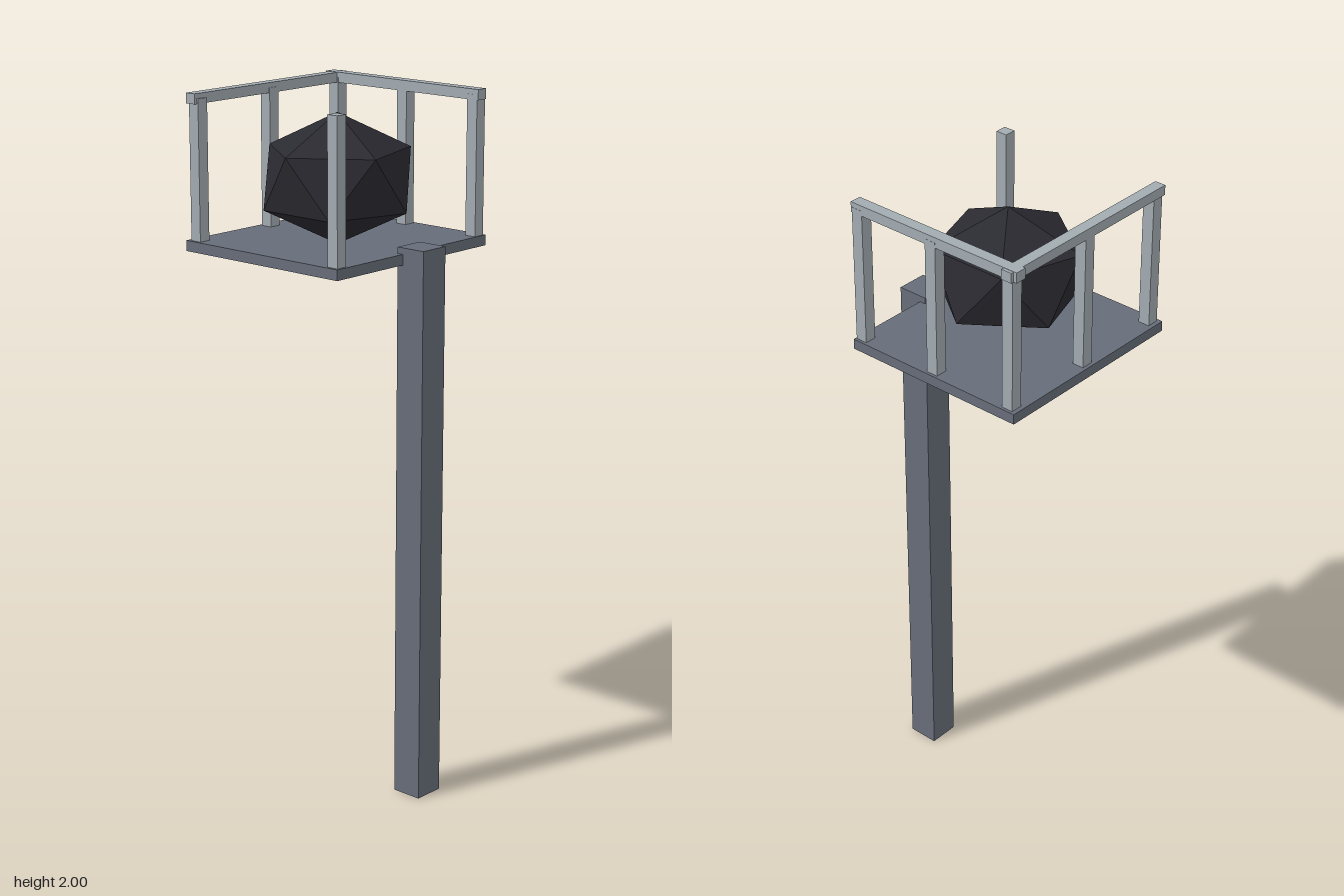
import * as THREE from 'three';

export function createModel() {
  const model = new THREE.Group();
  model.name = 'brazierTower';

  const material = (name, color) => {
    const m = new THREE.MeshStandardMaterial({ color });
    m.name = name;
    return m;
  };
  const slate = material('slate grey', 0x676d79);
  const pale = material('pale grey', 0xa2abb1);
  const coal = material('charcoal', 0x2a2a31);

  // Box given by its extents along each axis
  const box = (name, mat, [x0, x1], [y0, y1], [z0, z1], parent = model) => {
    const mesh = new THREE.Mesh(new THREE.BoxGeometry(x1 - x0, y1 - y0, z1 - z0), mat);
    mesh.position.set((x0 + x1) / 2, (y0 + y1) / 2, (z0 + z1) / 2);
    mesh.name = name;
    parent.add(mesh);
  };

  // Mast and platform
  box('mast', slate, [-0.046, 0.046], [0, 1.605], [0.228, 0.32]);
  box('platform', slate, [-0.31, 0.31], [1.557, 1.587], [-0.322, 0.247]);

  // Railing: posts at the corners and halfway along the two railed sides
  const railing = new THREE.Group();
  railing.name = 'railing';
  model.add(railing);
  const half = 0.0175;
  const posts = [
    [-0.284, 0.222, 1.992], // free-standing post
    [0.284, 0.226, 1.985],
    [0.284, -0.031, 1.985],
    [0.284, -0.292, 1.985],
    [0, -0.294, 1.985],
    [-0.284, -0.292, 1.985],
  ];
  for (const [x, z, top] of posts) {
    box('railingPost', pale, [x - half, x + half], [1.58, top], [z - half, z + half], railing);
  }
  box('backRail', pale, [-0.31, 0.31], [1.97, 1.999], [-0.312, -0.279], railing);
  box('leftRail', pale, [0.267, 0.301], [1.97, 2], [-0.322, 0.247], railing);

  // Faceted lump, turned to stand on one vertex and slightly flattened
  const lump = new THREE.IcosahedronGeometry(1, 0);
  lump.rotateZ(Math.atan(2 / (1 + Math.sqrt(5))));
  lump.scale(0.2325, 0.184, 0.2325);
  lump.computeVertexNormals();
  const ball = new THREE.Mesh(lump, coal);
  ball.position.set(-0.025, 1.761, -0.012);
  ball.name = 'facetedBall';
  model.add(ball);

  return model;
}
